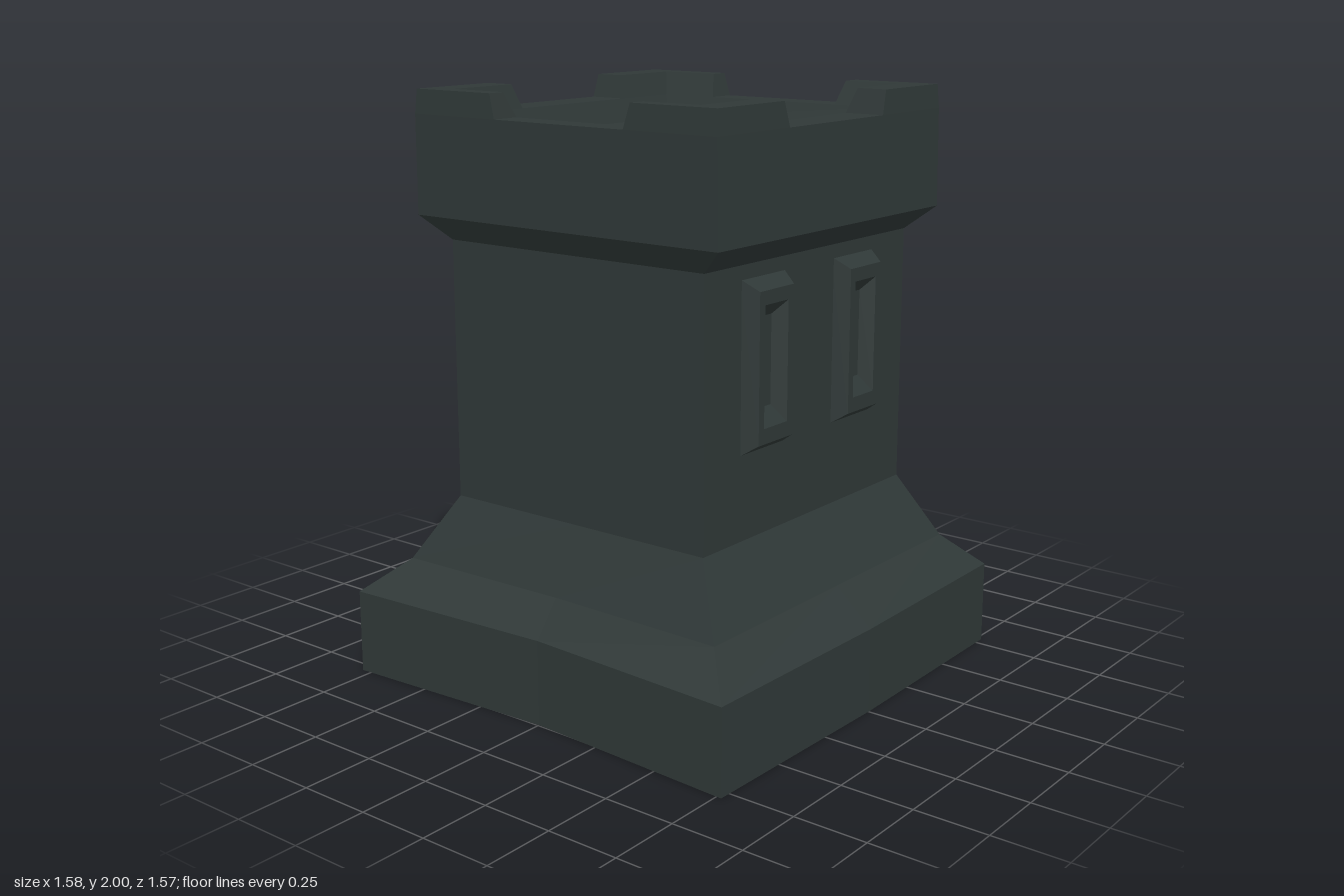
import * as THREE from 'three';

const stone = new THREE.MeshStandardMaterial({ color: 0x2f3837, side: THREE.DoubleSide });
stone.name = 'darkStone';

// Flat-shaded mesh from quads, each four corner points
function quadMesh(name, quads) {
  const pos = [];
  for (const [a, b, c, d] of quads) pos.push(...a, ...b, ...c, ...a, ...c, ...d);
  const geo = new THREE.BufferGeometry();
  geo.setAttribute('position', new THREE.Float32BufferAttribute(pos, 3));
  geo.computeVertexNormals();
  const mesh = new THREE.Mesh(geo, stone);
  mesh.name = name;
  return mesh;
}

// Quads joining successive closed rings of points
function loft(rings) {
  const quads = [];
  for (let r = 0; r + 1 < rings.length; r++) {
    const a = rings[r], b = rings[r + 1], n = a.length;
    for (let i = 0; i < n; i++) {
      const j = (i + 1) % n;
      quads.push([a[i], a[j], b[j], b[i]]);
    }
  }
  return quads;
}

// Four corners, counter-clockwise seen from above, starting at the front left
const rect = (y, x0, x1, z0, z1) => [[x0, y, z1], [x1, y, z1], [x1, y, z0], [x0, y, z0]];

// Same with a midpoint on each side; the sides bow by the given amounts
function bowedRect(y, x0, x1, z0, z1, bowLeft = 0, bowFront = 0, bowBack = 0) {
  const [a, b, c, d] = rect(y, x0, x1, z0, z1);
  return [a, [0, y, z1 + bowFront], b, [x1, y, 0], c, [0, y, z0 - bowBack], d, [x0 + bowLeft, y, 0]];
}

// Window frame: raised bevelled surround with a sunken slit
function windowFrame(name, cx) {
  const ring = (half, y0, y1, z) =>
    [[cx - half, y0, z], [cx + half, y0, z], [cx + half, y1, z], [cx - half, y1, z]];
  const rings = [
    ring(0.116, 0.908, 1.467, 0.515),
    ring(0.09, 0.945, 1.43, 0.572),
    ring(0.062, 0.995, 1.385, 0.572),
    ring(0.03, 1.05, 1.34, 0.53),
  ];
  return quadMesh(name, [...loft(rings), rings[3]]);
}

export function createModel() {
  const tower = new THREE.Group();
  tower.name = 'tower';

  // Hollow plinth, open underneath
  const plinthTop = bowedRect(0.29, -0.79, 0.79, -0.788, 0.768, 0.045, 0.015, -0.008);
  tower.add(quadMesh('plinth', loft([
    bowedRect(0, -0.79, 0.79, -0.788, 0.768, 0.045, 0.015, -0.008), plinthTop,
  ])));

  // Flared foot, straight shaft and overhanging crown wall
  const shaftBottom = bowedRect(0.63, -0.555, 0.573, -0.52, 0.52);
  const shaftTop = bowedRect(1.51, -0.555, 0.573, -0.52, 0.52);
  tower.add(quadMesh('flaredFoot', loft([
    plinthTop, bowedRect(0.41, -0.67, 0.665, -0.645, 0.65, 0.015), shaftBottom,
  ])));
  tower.add(quadMesh('shaft', loft([shaftBottom, shaftTop])));
  tower.add(quadMesh('crownWall', loft([
    shaftTop,
    bowedRect(1.59, -0.613, 0.628, -0.617, 0.615),
    bowedRect(1.92, -0.612, 0.627, -0.617, 0.61),
  ])));

  // Parapet corners: outer and inner edges at the notch floor and at the top
  const outLow = rect(1.92, -0.612, 0.627, -0.617, 0.61);
  const outHigh = rect(2, -0.606, 0.622, -0.612, 0.605);
  const inLow = rect(1.92, -0.51, 0.523, -0.478, 0.468);
  const inHigh = rect(2, -0.543, 0.556, -0.506, 0.497);

  // Point along side i (corner i to i + 1) at the notch's start or end
  function notchPoint(ring, i, end, gap) {
    const p = ring[i].slice(), q = ring[(i + 1) % 4];
    const axis = i % 2 === 0 ? 0 : 2;
    const centre = axis === 0 ? 0.01 : -0.002;
    p[axis] = centre + Math.sign(q[axis] - p[axis]) * (end ? gap : -gap);
    return p;
  }

  // L-shaped merlon at each corner, notch floor on each side
  for (let i = 0; i < 4; i++) {
    const prev = (i + 3) % 4;
    const outline = (outer, inner, gap) => [
      notchPoint(outer, prev, true, gap), outer[i], notchPoint(outer, i, false, gap),
      notchPoint(inner, i, false, gap), inner[i], notchPoint(inner, prev, true, gap),
    ];
    const low = outline(outLow, inLow, 0.262), high = outline(outHigh, inHigh, 0.285);
    tower.add(quadMesh('merlon', [
      ...loft([low, high]),
      [high[0], high[1], high[4], high[5]],
      [high[1], high[2], high[3], high[4]],
    ]));
    tower.add(quadMesh('notchFloor', [[
      notchPoint(outLow, i, false, 0.262), notchPoint(outLow, i, true, 0.262),
      notchPoint(inLow, i, true, 0.262), notchPoint(inLow, i, false, 0.262),
    ]]));
  }

  // Sunken roof floor with sloping inner walls
  const floor = rect(1.84, -0.472, 0.488, -0.447, 0.435);
  tower.add(quadMesh('parapetInside', loft([inLow, floor])));
  tower.add(quadMesh('roofFloor', [floor]));

  // Pairs of windows on the front and back
  for (const side of ['front', 'back']) {
    const pair = new THREE.Group();
    pair.name = side + 'Windows';
    for (const cx of [-0.253, 0.253]) pair.add(windowFrame('window', cx));
    if (side === 'back') pair.rotation.y = Math.PI;
    tower.add(pair);
  }
  return tower;
}
